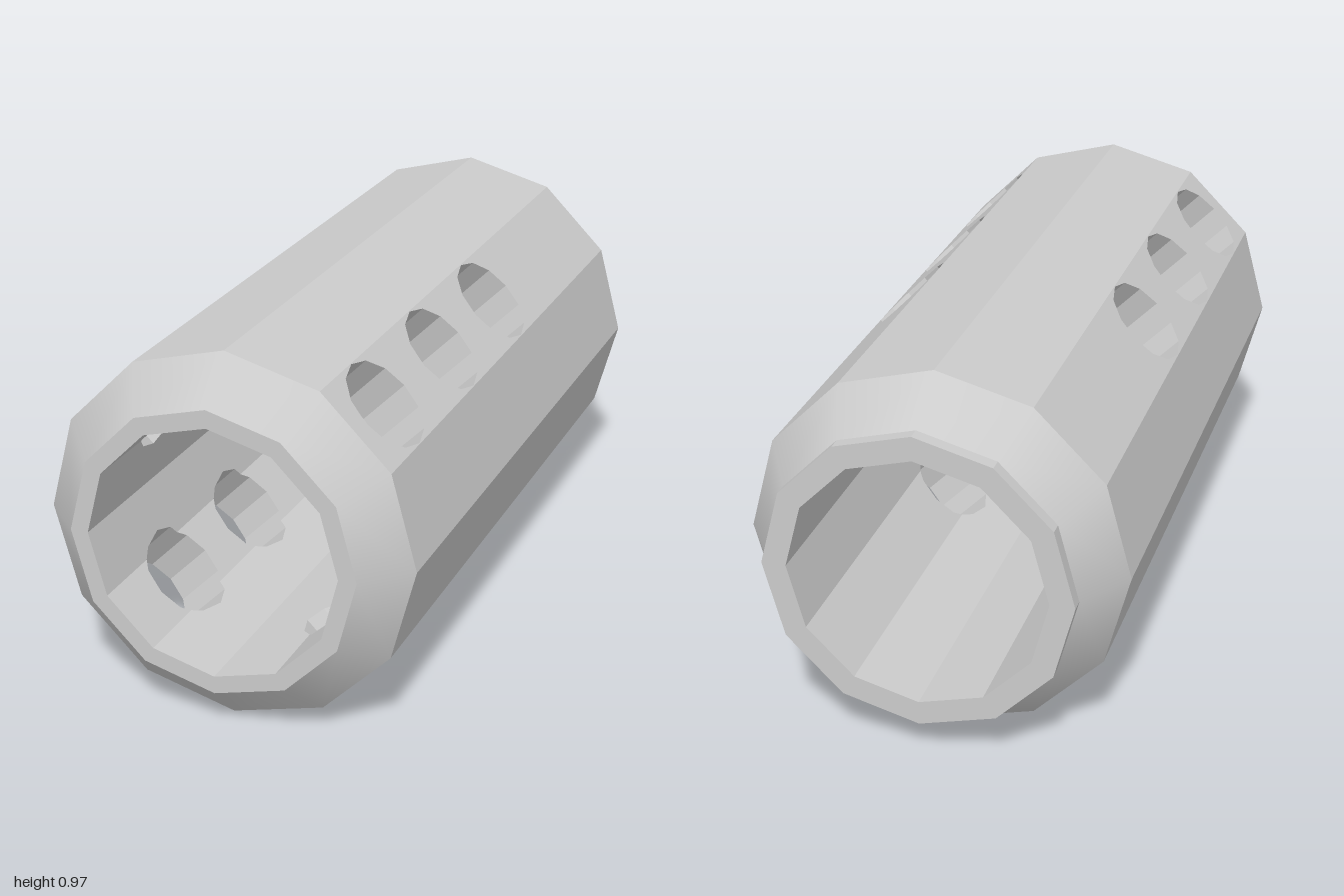
import * as THREE from 'three';

const SIDES = 12, OUTER = 0.486, BORE = 0.33, HOLE = 0.124;
const HOLE_Z = [-0.06, 0.325, 0.71];
const S15 = Math.sin(Math.PI / 12), S45 = Math.SQRT1_2;

const material = new THREE.MeshStandardMaterial({ color: 0xcccccc });
const flat = new THREE.MeshStandardMaterial({ color: 0xcccccc, flatShading: true });

// Distance from the axis of a 12-sided wall at sideways offset t, within one quadrant (three faces)
function wallHeight(R, t) {
  const a = R * S15, apothem = R * Math.cos(Math.PI / 12);
  return apothem - Math.max(0, Math.abs(t) - a) * Math.tan(Math.PI / 6);
}

// Half-length along z of a 12-sided hole at sideways offset t
function holeHalf(t) {
  if (Math.abs(t) >= HOLE) return 0;
  const i = Math.min(5, Math.floor(Math.acos(Math.abs(t) / HOLE) / (Math.PI / 6)));
  const a = i * Math.PI / 6, b = a + Math.PI / 6;
  const k = (Math.abs(t) - HOLE * Math.cos(a)) / (HOLE * (Math.cos(b) - Math.cos(a)));
  return HOLE * (Math.sin(a) + k * (Math.sin(b) - Math.sin(a)));
}

// Offsets where the hole outline or a wall fold changes direction
const holeSteps = [0, 1, 2, 3, 4, 5, 6].map((i) => -HOLE * Math.cos(i * Math.PI / 6));
function columns(extra) {
  return [...holeSteps, ...extra, ...extra.map((t) => -t)].sort((a, b) => a - b);
}

function quadGeometry(quads) {
  const pos = [];
  for (const [a, b, c, d] of quads) pos.push(...a, ...b, ...c, ...a, ...c, ...d);
  const g = new THREE.BufferGeometry();
  g.setAttribute('position', new THREE.Float32BufferAttribute(pos, 3));
  g.computeVertexNormals();
  return g;
}

// Quarter of a 12-sided wall with a row of holes through its middle face
function perforatedQuarter(R, zBack, zFront, inward) {
  const ts = columns([R * S15, R * S45]), quads = [];
  for (let i = 0; i < ts.length - 1; i++) {
    const [t0, t1] = [ts[i], ts[i + 1]];
    const levels = (t) => [zBack, ...HOLE_Z.flatMap((c) => [c - holeHalf(t), c + holeHalf(t)]), zFront];
    const l0 = levels(t0), l1 = levels(t1);
    const r0 = wallHeight(R, t0), r1 = wallHeight(R, t1);
    for (let j = 0; j < l0.length; j += 2) {
      const q = [[r0, t0, l0[j]], [r1, t1, l1[j]], [r1, t1, l1[j + 1]], [r0, t0, l0[j + 1]]];
      quads.push(inward ? q.reverse() : q);
    }
  }
  return quadGeometry(quads);
}

// Walls of the three holes, running from the outer skin to the bore
function holeWalls() {
  const ts = columns([BORE * S15]), quads = [];
  for (const c of HOLE_Z) for (const s of [-1, 1]) {
    for (let i = 0; i < ts.length - 1; i++) {
      const [t0, t1] = [ts[i], ts[i + 1]];
      const z0 = c + s * holeHalf(t0), z1 = c + s * holeHalf(t1);
      const q = [
        [wallHeight(OUTER, t0), t0, z0], [wallHeight(OUTER, t1), t1, z1],
        [wallHeight(BORE, t1), t1, z1], [wallHeight(BORE, t0), t0, z0],
      ];
      quads.push(s > 0 ? q.reverse() : q);
    }
  }
  return quadGeometry(quads);
}

export function createModel() {
  const model = new THREE.Group();
  model.name = 'perforatedTube';
  model.position.y = OUTER;

  const add = (name, geometry, mat = material, parent = model) => {
    const mesh = new THREE.Mesh(geometry, mat);
    mesh.name = name;
    parent.add(mesh);
    return mesh;
  };

  // Open 12-sided band along z
  const band = (name, rFront, rBack, zFront, zBack, mat) => {
    const g = new THREE.CylinderGeometry(rFront, rBack, zFront - zBack, SIDES, 1, true);
    g.rotateX(Math.PI / 2).translate(0, 0, (zFront + zBack) / 2);
    add(name, g, mat);
  };

  // Body: four quarters, each with a row of three holes
  const outerGeo = perforatedQuarter(OUTER, -0.83, 0.895, false);
  const boreGeo = perforatedQuarter(BORE, -1, 1, true);
  const holeGeo = holeWalls();
  for (let k = 0; k < 4; k++) {
    const quarter = new THREE.Group();
    quarter.name = 'bodyQuarter';
    quarter.rotation.z = Math.PI / 4 + k * Math.PI / 2;
    add('outerSkin', outerGeo, flat, quarter);
    add('bore', boreGeo, flat, quarter);
    add('holeWalls', holeGeo, flat, quarter);
    model.add(quarter);
  }

  // Front end: chamfer and flat rim
  band('frontChamfer', 0.377, OUTER, 1, 0.895);
  add('frontRim', new THREE.RingGeometry(BORE, 0.377, SIDES)).position.z = 1;

  // Back end: longer chamfer, short collar and flat rim
  band('backChamfer', OUTER, 0.393, -0.83, -0.965);
  band('backCollar', 0.393, 0.393, -0.965, -1, flat);
  const backRim = add('backRim', new THREE.RingGeometry(BORE, 0.393, SIDES));
  backRim.position.z = -1;
  backRim.rotation.y = Math.PI;

  const root = new THREE.Group();
  root.name = 'tube';
  root.add(model);
  return root;
}
